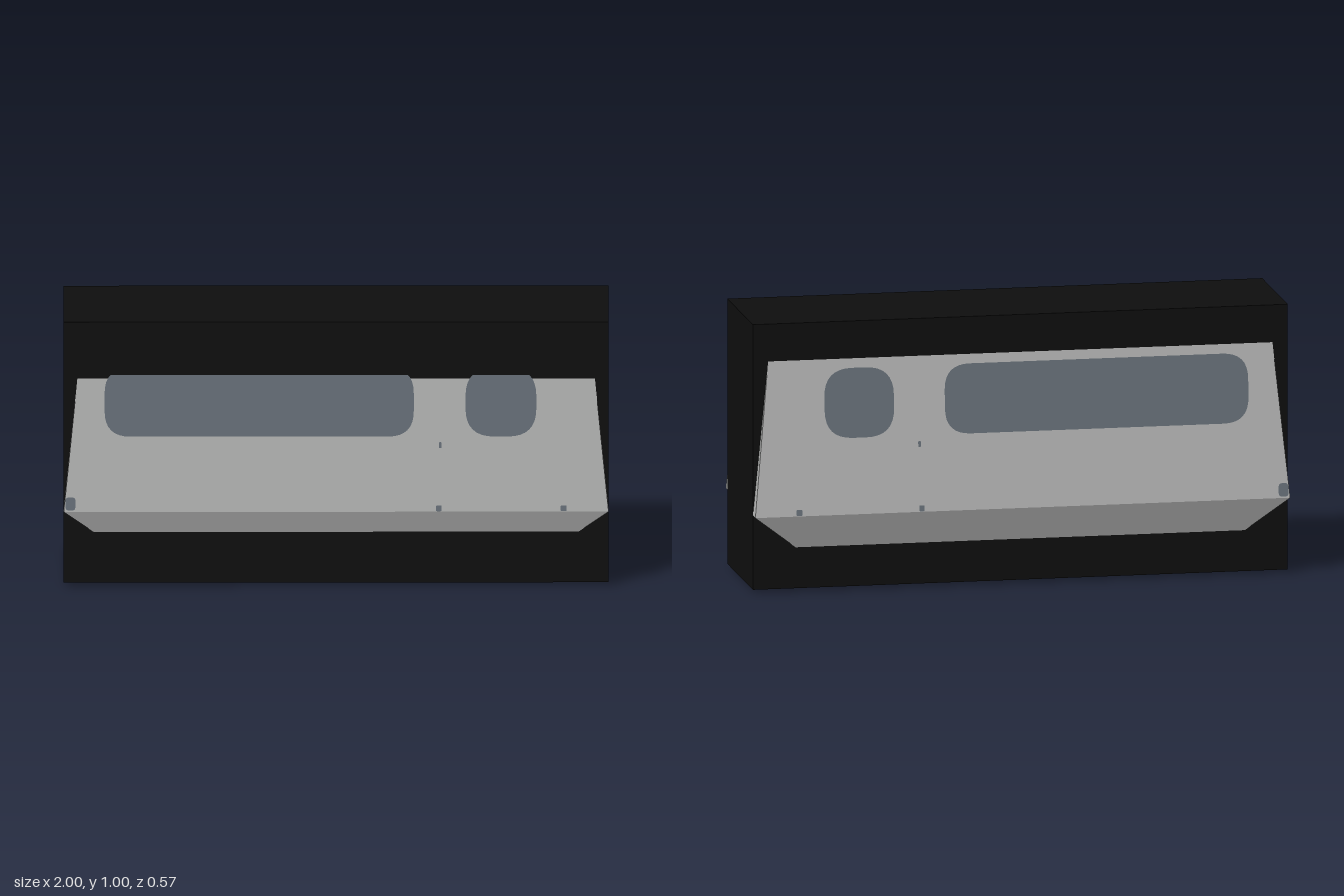
import * as THREE from 'three';

const RIDGE_Y = 0.29, RIDGE_Z = 0.286;

// Each side: face of the box (z), where the hull panel meets it (top and bottom).
const SIDES = [
  { name: 'front', s: 1, z: 0.255, topY: 0.79, topX: 0.95, botY: 0.205, botX: 0.89 },
  { name: 'back', s: -1, z: 0.237, topY: 0.865, topX: 0.943, botY: 0.165, botX: 0.84 },
];

// Non-indexed polygons, so every facet stays flat; s = -1 mirrors in z.
function facets(polys, s) {
  const pos = [];
  for (const p of polys) {
    for (let i = 1; i < p.length - 1; i++) {
      const tri = s > 0 ? [p[0], p[i], p[i + 1]] : [p[0], p[i + 1], p[i]];
      for (const [x, y, z] of tri) pos.push(x, y, z * s);
    }
  }
  const g = new THREE.BufferGeometry();
  g.setAttribute('position', new THREE.Float32BufferAttribute(pos, 3));
  g.computeVertexNormals();
  return g;
}

// Faceted hull bulge: sloped upper panel, undercut lower panel, folded ends.
function hullGeometry(d) {
  const pt = (x, y, z) => [x, y, z];
  const T = (m) => pt(m * d.topX, d.topY, d.z);
  const R = (m) => pt(m, RIDGE_Y, RIDGE_Z);
  const B = (m) => pt(m * d.botX, d.botY, d.z);
  const S = (m) => pt(m, RIDGE_Y, d.z);
  return facets([
    [R(-1), R(1), T(1), T(-1)],
    [B(-1), B(1), R(1), R(-1)],
    [R(1), S(1), T(1)], [R(1), B(1), S(1)],
    [R(-1), T(-1), S(-1)], [R(-1), S(-1), B(-1)],
  ], d.s);
}

function roundedRect(x0, x1, y0, y1, r) {
  const s = new THREE.Shape();
  s.moveTo(x0 + r, y0);
  s.lineTo(x1 - r, y0);
  s.quadraticCurveTo(x1, y0, x1, y0 + r);
  s.lineTo(x1, y1 - r);
  s.quadraticCurveTo(x1, y1, x1 - r, y1);
  s.lineTo(x0 + r, y1);
  s.quadraticCurveTo(x0, y1, x0, y1 - r);
  s.lineTo(x0, y0 + r);
  s.quadraticCurveTo(x0, y0, x0 + r, y0);
  return s;
}

// Flat outline laid onto the sloped upper panel of a side.
function panelGeometry(shape, d) {
  const g = new THREE.ShapeGeometry(shape, 8);
  const p = g.attributes.position;
  const slope = (RIDGE_Z - d.z) / (d.topY - RIDGE_Y);
  for (let i = 0; i < p.count; i++) {
    p.setZ(i, d.s * (RIDGE_Z + 0.0008 - slope * (p.getY(i) - RIDGE_Y)));
  }
  if (d.s < 0) {
    const idx = g.index.array;
    for (let i = 0; i < idx.length; i += 3) [idx[i], idx[i + 1]] = [idx[i + 1], idx[i]];
  }
  g.computeVertexNormals();
  return g;
}

export function createModel() {
  const black = new THREE.MeshStandardMaterial({ color: 0x0e0e0e });
  black.name = 'black';
  const grey = new THREE.MeshStandardMaterial({ color: 0xb8b9b8 });
  grey.name = 'hull grey';
  const glass = new THREE.MeshStandardMaterial({ color: 0x69727b });
  glass.name = 'window blue grey';

  const model = new THREE.Group();
  const add = (parent, name, geo, mat) => {
    const m = new THREE.Mesh(geo, mat);
    m.name = name;
    parent.add(m);
    return m;
  };

  // Main block
  add(model, 'mainBlock', new THREE.BoxGeometry(2, 0.993, 0.492), black).position.set(0, 0.5085, 0.009);

  // Small feet under the block
  for (const x of [-0.572, 0.572]) {
    add(model, 'foot', new THREE.BoxGeometry(0.165, 0.03, 0.056), black).position.set(x, 0.015, 0);
  }

  // Hull panels with windows and small marks on both long sides
  for (const d of SIDES) {
    const side = new THREE.Group();
    side.name = d.name + 'Side';
    model.add(side);
    add(side, 'hull', hullGeometry(d), grey);
    add(side, 'longWindow', panelGeometry(roundedRect(-0.85, 0.285, 0.572, 0.83, 0.095), d), glass);
    add(side, 'smallWindow', panelGeometry(roundedRect(0.475, 0.735, 0.572, 0.83, 0.105), d), glass);
    add(side, 'cornerLamp', panelGeometry(roundedRect(-0.994, -0.957, 0.295, 0.345, 0.015), d), glass);
    for (const [x, y, w] of [[0.377, 0.303, 0.02], [0.835, 0.303, 0.022], [0.382, 0.54, 0.01]]) {
      add(side, 'latch', panelGeometry(roundedRect(x - w / 2, x + w / 2, y - 0.011, y + 0.011, 0.004), d), glass);
    }
  }
  return model;
}
